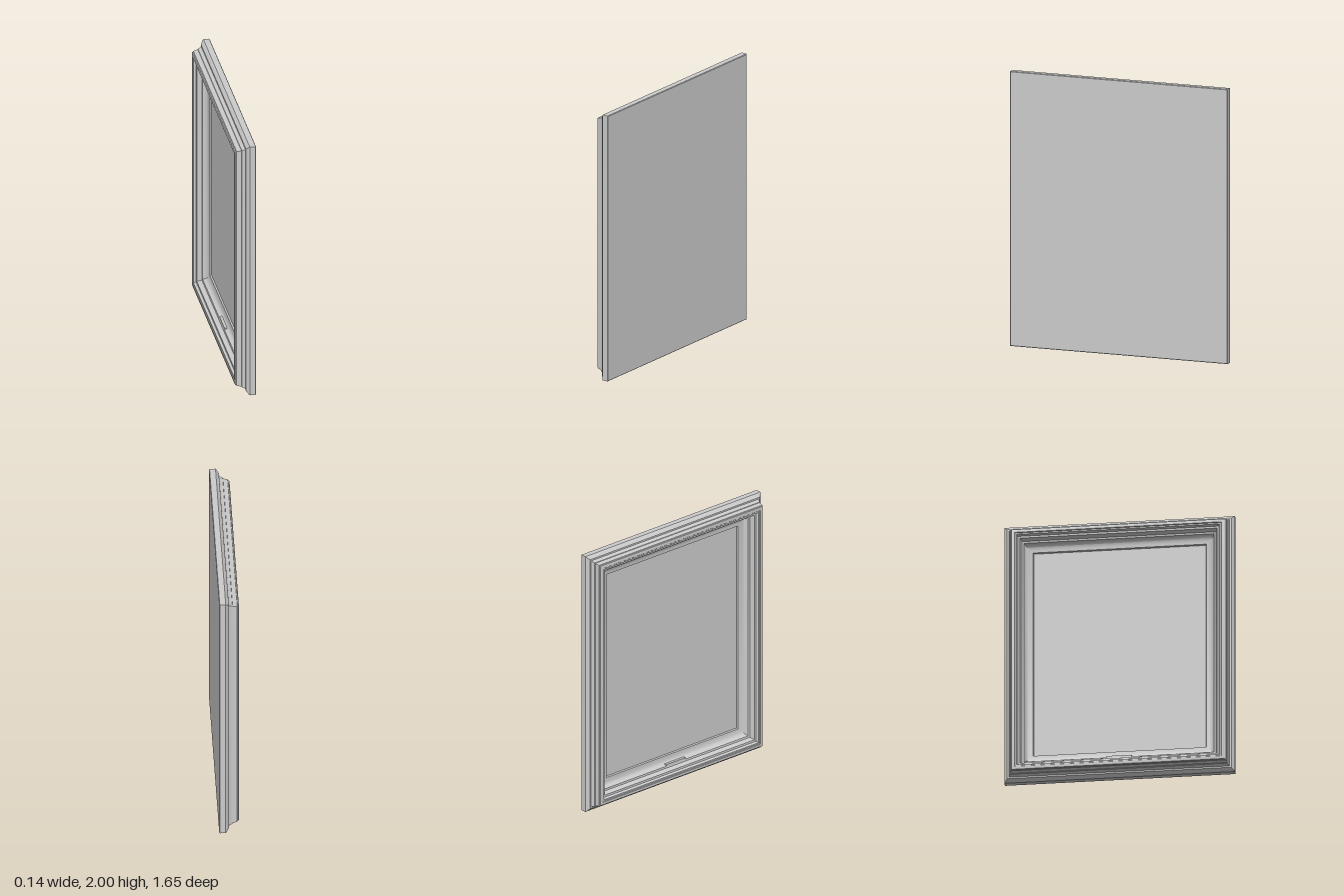
import * as THREE from 'three';
import { toCreasedNormals } from 'three/addons/utils/BufferGeometryUtils.js';

const HALF_DEPTH = 0.825, HEIGHT = 2;

// Sweep a moulding profile [x, inset] around the rectangle with mitred corners
function mitredFrame(profile) {
  const corners = (inset) => {
    const z = HALF_DEPTH - inset;
    return [[-z, inset], [z, inset], [z, HEIGHT - inset], [-z, HEIGHT - inset]];
  };
  const pos = [];
  for (let i = 0; i < profile.length - 1; i++) {
    const [x0, in0] = profile[i], [x1, in1] = profile[i + 1];
    const p = corners(in0), q = corners(in1);
    for (let k = 0; k < 4; k++) {
      const n = (k + 1) % 4;
      const a = [x0, p[k][1], p[k][0]], b = [x0, p[n][1], p[n][0]];
      const c = [x1, q[n][1], q[n][0]], d = [x1, q[k][1], q[k][0]];
      pos.push(...a, ...b, ...c, ...a, ...c, ...d);
    }
  }
  const geo = new THREE.BufferGeometry();
  geo.setAttribute('position', new THREE.Float32BufferAttribute(pos, 3));
  return toCreasedNormals(geo, 0.6);
}

export function createModel() {
  const group = new THREE.Group();
  const material = new THREE.MeshStandardMaterial({ color: 0xcccccc, side: THREE.DoubleSide });
  const add = (name, geo, x = 0, y = 0, z = 0) => {
    const mesh = new THREE.Mesh(geo, material);
    mesh.name = name;
    mesh.position.set(x, y, z);
    group.add(mesh);
    return mesh;
  };

  // Moulding: outer rim, stepped sides, narrow front lip, sloped inner coves
  add('frameMoulding', mitredFrame([
    [0.07, 0.012], [0.07, 0.004], [0.066, 0], [0.024, 0], [0.016, 0.006], [0.008, 0.018],
    [0.001, 0.024], [0.0, 0.035], [-0.008, 0.041], [-0.025, 0.046], [-0.027, 0.05],
    [-0.06, 0.056], [-0.063, 0.06], [-0.07, 0.062], [-0.073, 0.068],
    [-0.073, 0.084], [-0.068, 0.088], [-0.068, 0.098], [-0.058, 0.104],
    [-0.05, 0.106], [-0.048, 0.12], [-0.03, 0.123], [-0.014, 0.132], [-0.01, 0.145],
    [0.006, 0.15], [0.02, 0.165], [0.027, 0.185], [0.029, 0.205], [0.04, 0.21],
  ]));

  // Flat board closing the back and forming the recessed panel
  const inset = 0.012;
  add('backPanel', new THREE.BoxGeometry(0.03, HEIGHT - 2 * inset, 2 * (HALF_DEPTH - inset)),
    0.055, HEIGHT / 2, 0);

  // Small tab on the lower inner slope
  add('lowerTab', new THREE.BoxGeometry(0.02, 0.018, 0.18), 0, 0.148, 0);

  return group;
}
